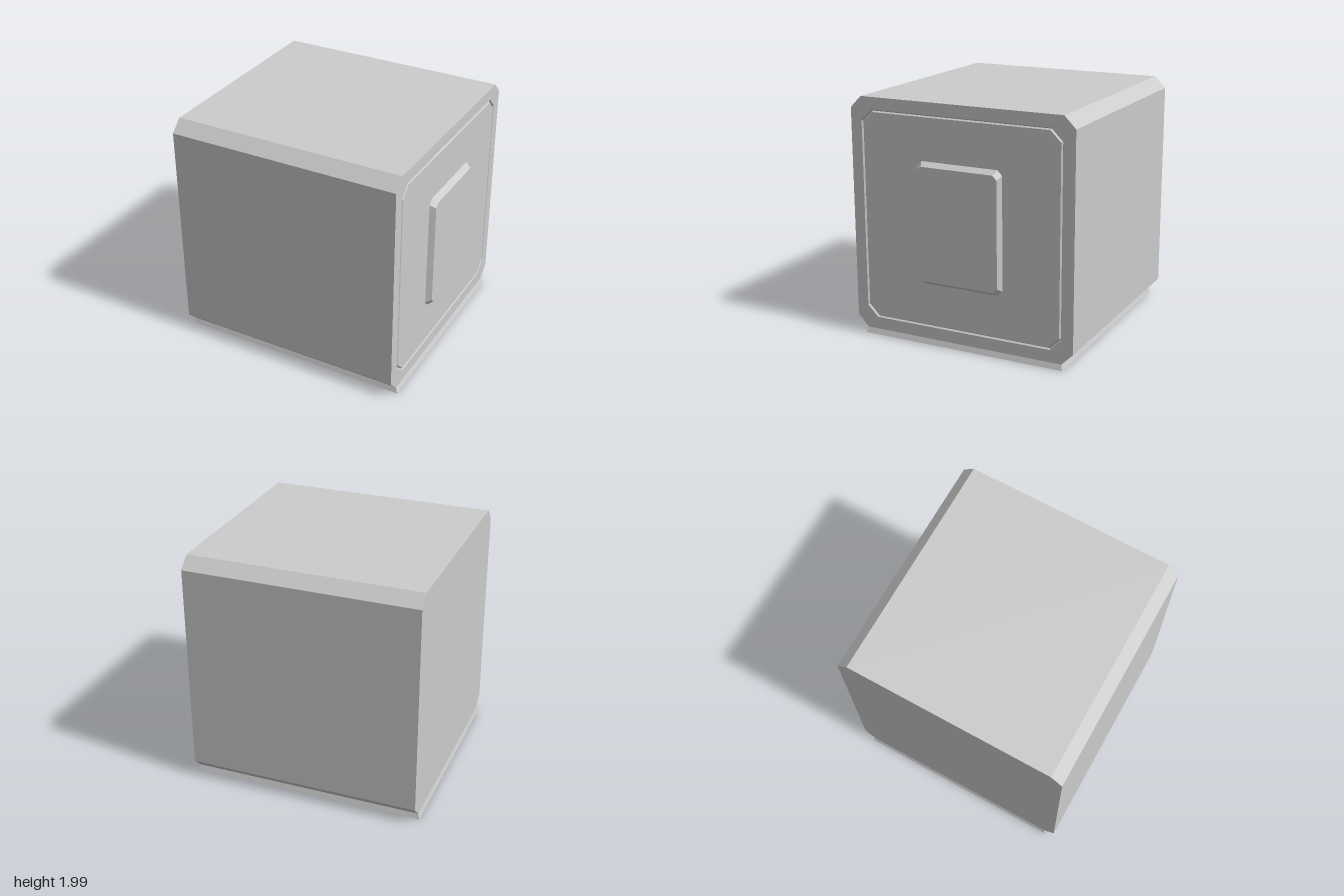
import * as THREE from 'three';

const material = new THREE.MeshStandardMaterial({ color: 0xcccccc, flatShading: true });

// Eight-sided outline (rectangle with cut corners) in the plane at the given x
function octagon(x, halfZ, y0, y1, cut) {
  const h = halfZ, k = halfZ - cut;
  return [
    [h, y0 + cut], [h, y1 - cut], [k, y1], [-k, y1],
    [-h, y1 - cut], [-h, y0 + cut], [-k, y0], [k, y0],
  ].map(([u, y]) => new THREE.Vector3(x, y, -u));
}

// Rectangle in the plane at the given y
function rectangle(y, x0, x1, halfZ) {
  return [[x1, halfZ], [x1, -halfZ], [x0, -halfZ], [x0, halfZ]]
    .map(([x, z]) => new THREE.Vector3(x, y, z));
}

// Joins consecutive outlines with flat faces, optionally closing either end
function loft(name, rings, capStart, capEnd) {
  const points = [];
  for (let r = 0; r + 1 < rings.length; r++) {
    const p = rings[r], q = rings[r + 1];
    for (let i = 0; i < p.length; i++) {
      const j = (i + 1) % p.length;
      points.push(p[i], p[j], q[j], p[i], q[j], q[i]);
    }
  }
  const first = rings[0], last = rings[rings.length - 1];
  for (let i = 1; i + 1 < first.length; i++) {
    if (capStart) points.push(first[0], first[i + 1], first[i]);
    if (capEnd) points.push(last[0], last[i], last[i + 1]);
  }
  const geometry = new THREE.BufferGeometry().setFromPoints(points);
  geometry.computeVertexNormals();
  const mesh = new THREE.Mesh(geometry, material);
  mesh.name = name;
  return mesh;
}

export function createModel() {
  const group = new THREE.Group();
  group.name = 'chamferedBox';
  const left = -0.987, face = 0.953;

  // Outlines on the panelled side, from the outside in
  const bodyEdge = octagon(face, 0.972, 0.045, 1.988, 0.096);
  const grooveOuter = octagon(face, 0.875, 0.147, 1.888, 0.094);
  const grooveBottom = octagon(face - 0.012, 0.865, 0.158, 1.878, 0.09);
  const grooveInner = octagon(face, 0.855, 0.168, 1.868, 0.086);
  const buttonBase = octagon(face, 0.372, 0.515, 1.52, 0.04);
  const buttonTop = octagon(1, 0.348, 0.55, 1.486, 0.036);

  group.add(
    // Chamfered body with its plain side closed
    loft('body', [octagon(left, 0.972, 0.045, 1.988, 0.096), bodyEdge, grooveOuter], true, false),
    // Narrow groove around the panel
    loft('panelGroove', [grooveOuter, grooveBottom, grooveInner], false, false),
    loft('sidePanel', [grooveInner, buttonBase], false, false),
    // Raised bevelled plate
    loft('raisedPlate', [buttonBase, buttonTop], false, true),
    // Slightly flared foot
    loft('base', [rectangle(0, -1, 0.97, 0.89), rectangle(0.045, left, face, 0.876)], true, false),
  );
  return group;
}
